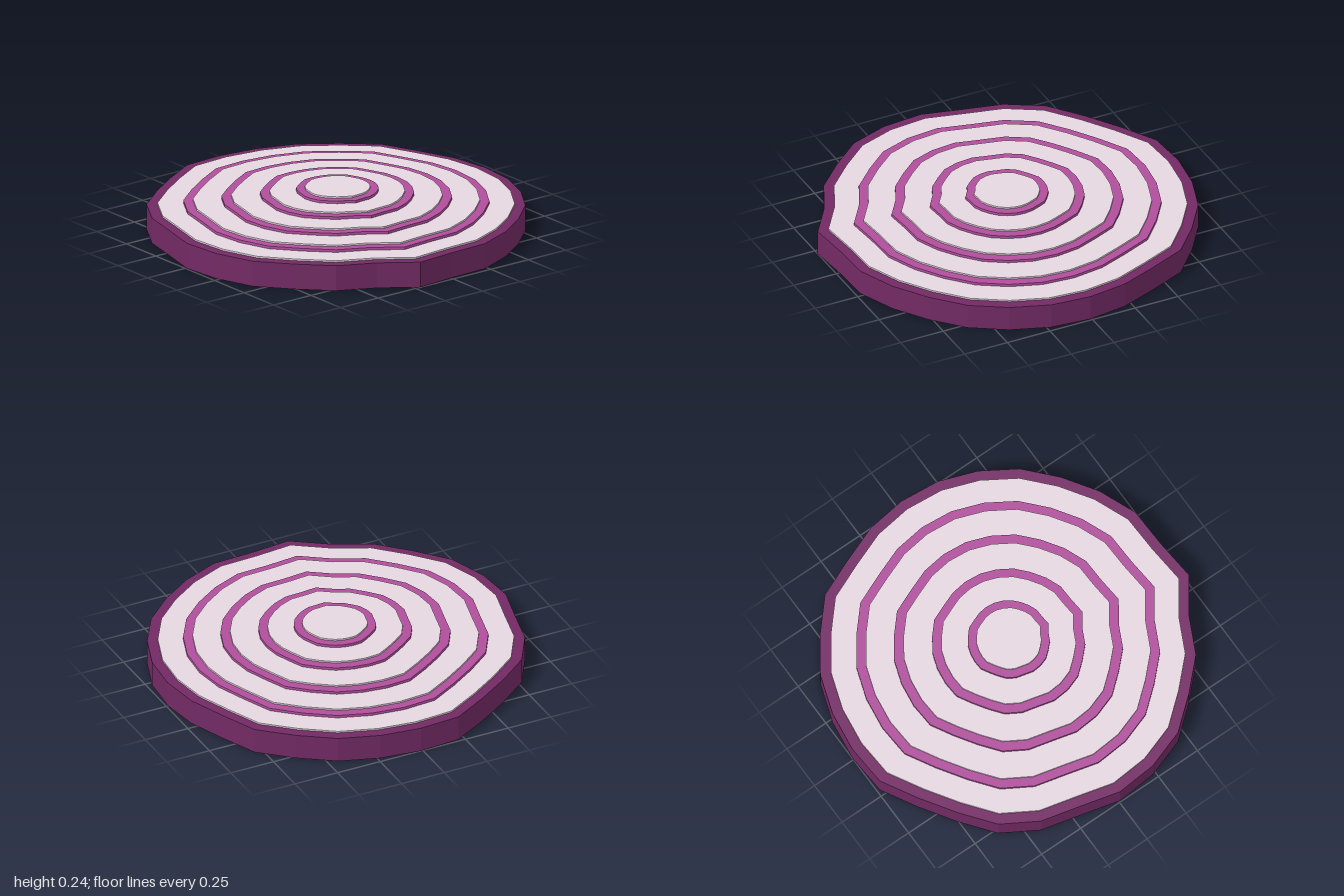
import * as THREE from 'three';

// Irregular outline shared by all layers: radii at equal steps, counter-clockwise from +x seen from above
const OUTLINE = [
  0.974, 0.991, 0.979, 0.973, 0.983, 0.983, 0.985, 0.98, 0.975, 0.969, 1.005, 0.993, 1.004, 1.002,
  1.007, 1.018, 0.978, 0.974, 1.002, 0.997, 0.974, 1.004, 1.01, 1.011, 0.98, 0.98, 0.956, 1.019];
const CENTRE = { x: 0.007, z: -0.01 }; // growth centre of the rings

// Outline scale of each ring and of the pale flesh inside it
const LAYERS = [
  { name: 'outerSkin', ring: 1, flesh: 0.943 },
  { name: 'secondRing', ring: 0.808, flesh: 0.758 },
  { name: 'thirdRing', ring: 0.609, flesh: 0.558 },
  { name: 'fourthRing', ring: 0.407, flesh: 0.358 },
  { name: 'coreRing', ring: 0.218, flesh: 0.173 },
];
const BASE = 0.139; // height of the lowest slab
const STEP = 0.0235; // rise from one layer to the next
const FLESH = 0.009; // rise of the flesh above its ring

function material(name, color) {
  const m = new THREE.MeshStandardMaterial({ color });
  m.name = name;
  return m;
}

// Upright prism on the ground with the irregular outline at a given scale
function slab(name, scale, height, mat) {
  const points = OUTLINE.map((r, i) => {
    const a = (i / OUTLINE.length) * Math.PI * 2;
    return new THREE.Vector2(Math.cos(a) * r * scale, Math.sin(a) * r * scale);
  });
  const geometry = new THREE.ExtrudeGeometry(new THREE.Shape(points), { depth: height, bevelEnabled: false });
  geometry.rotateX(-Math.PI / 2).translate(CENTRE.x, 0, CENTRE.z);
  const mesh = new THREE.Mesh(geometry, mat);
  mesh.name = name;
  return mesh;
}

export function createModel() {
  const darkPurple = material('dark purple skin', 0x722a64);
  const purple = material('purple ring', 0xb04f9c);
  const pale = material('pale flesh', 0xe5d7e0);

  const group = new THREE.Group();
  group.name = 'onionSlice';
  // Nested layers run through the whole slice, so every colour reaches the cut underside
  LAYERS.forEach(({ name, ring, flesh }, i) => {
    const top = BASE + i * STEP;
    group.add(
      slab(name, ring, top, i === 0 ? darkPurple : purple),
      slab(name + 'Flesh', flesh, top + FLESH, pale),
    );
  });
  return group;
}
